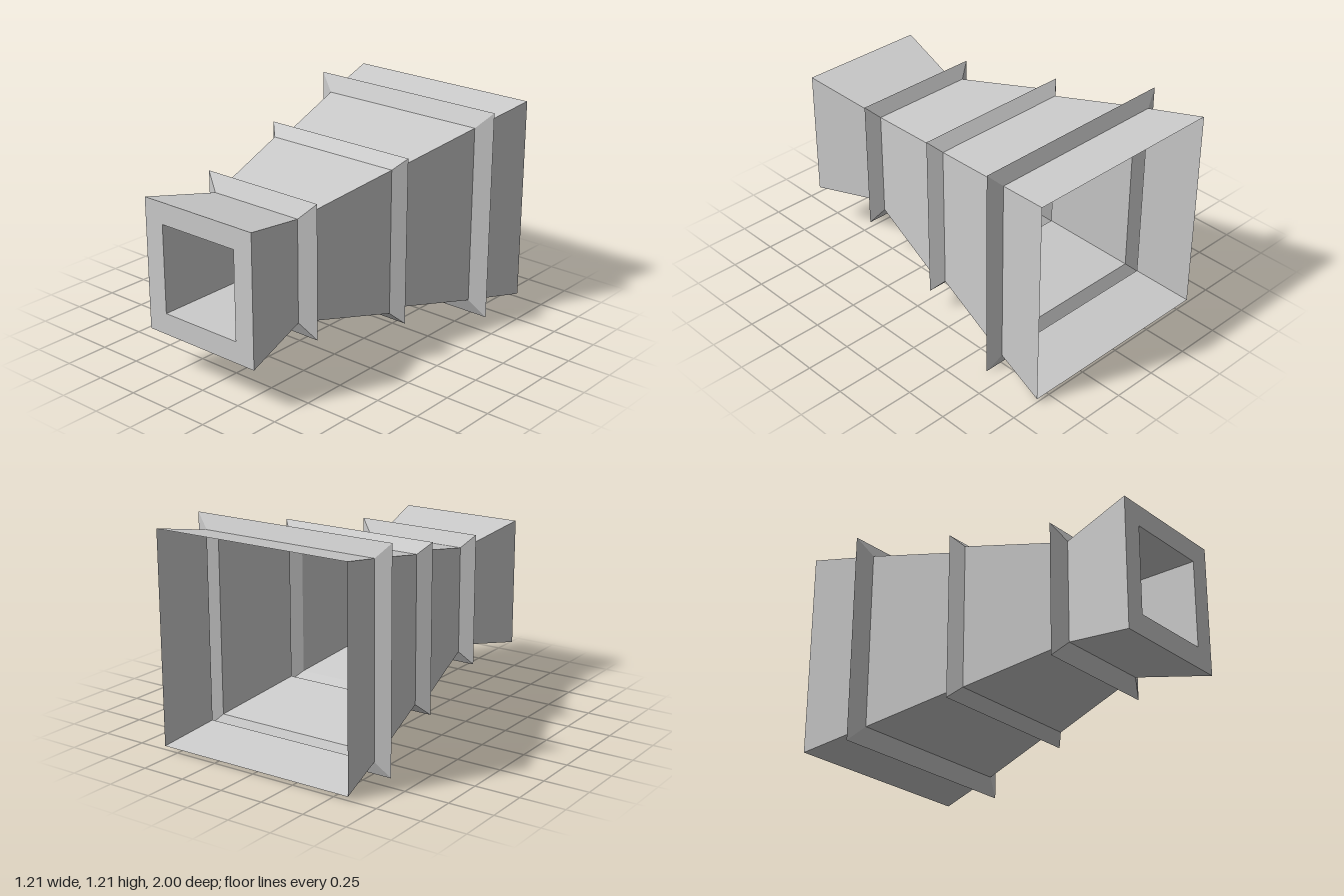
import * as THREE from 'three';

const CENTRE_Y = 0.605;

// Square-section surface swept along z from [halfWidth, z] pairs, back to front
function squareLoft(profile) {
  const points = profile.map(([half, z]) => new THREE.Vector2(half * Math.SQRT2, z));
  const geometry = new THREE.LatheGeometry(points, 4, Math.PI / 4).toNonIndexed();
  geometry.rotateX(Math.PI / 2);
  geometry.computeVertexNormals();
  return geometry;
}

export function createModel() {
  const group = new THREE.Group();
  const material = new THREE.MeshStandardMaterial({
    color: 0xcccccc, flatShading: true, side: THREE.DoubleSide,
  });
  const add = (name, geometry, z = 0) => {
    const mesh = new THREE.Mesh(geometry, material);
    mesh.name = name;
    mesh.position.set(0, CENTRE_Y, z);
    group.add(mesh);
  };

  // Tapered duct sections, open at the back
  add('rearDuct', squareLoft([[0.585, -1], [0.525, -0.685]]));
  add('middleDuct', squareLoft([[0.511, -0.61], [0.411, -0.13]]));
  add('forwardDuct', squareLoft([[0.411, -0.017], [0.303, 0.49]]));
  add('frontFlare', squareLoft([[0.287, 0.58], [0.367, 1]]));

  // Hollow V-shaped ribs joining the sections
  add('rearRib', squareLoft([[0.525, -0.685], [0.605, -0.653], [0.511, -0.61]]));
  add('middleRib', squareLoft([[0.411, -0.13], [0.473, -0.075], [0.411, -0.017]]));
  add('frontRib', squareLoft([[0.303, 0.49], [0.376, 0.533], [0.287, 0.58]]));

  // Front rim with a straight recess closed by a flat panel
  const recess = 0.247, recessZ = 0.43;
  add('frontRim', squareLoft([[0.367, 1], [recess, 1]]));
  add('recessWalls', squareLoft([[recess, 1], [recess, recessZ]]));
  add('recessPanel', new THREE.PlaneGeometry(recess * 2, recess * 2), recessZ);

  return group;
}
